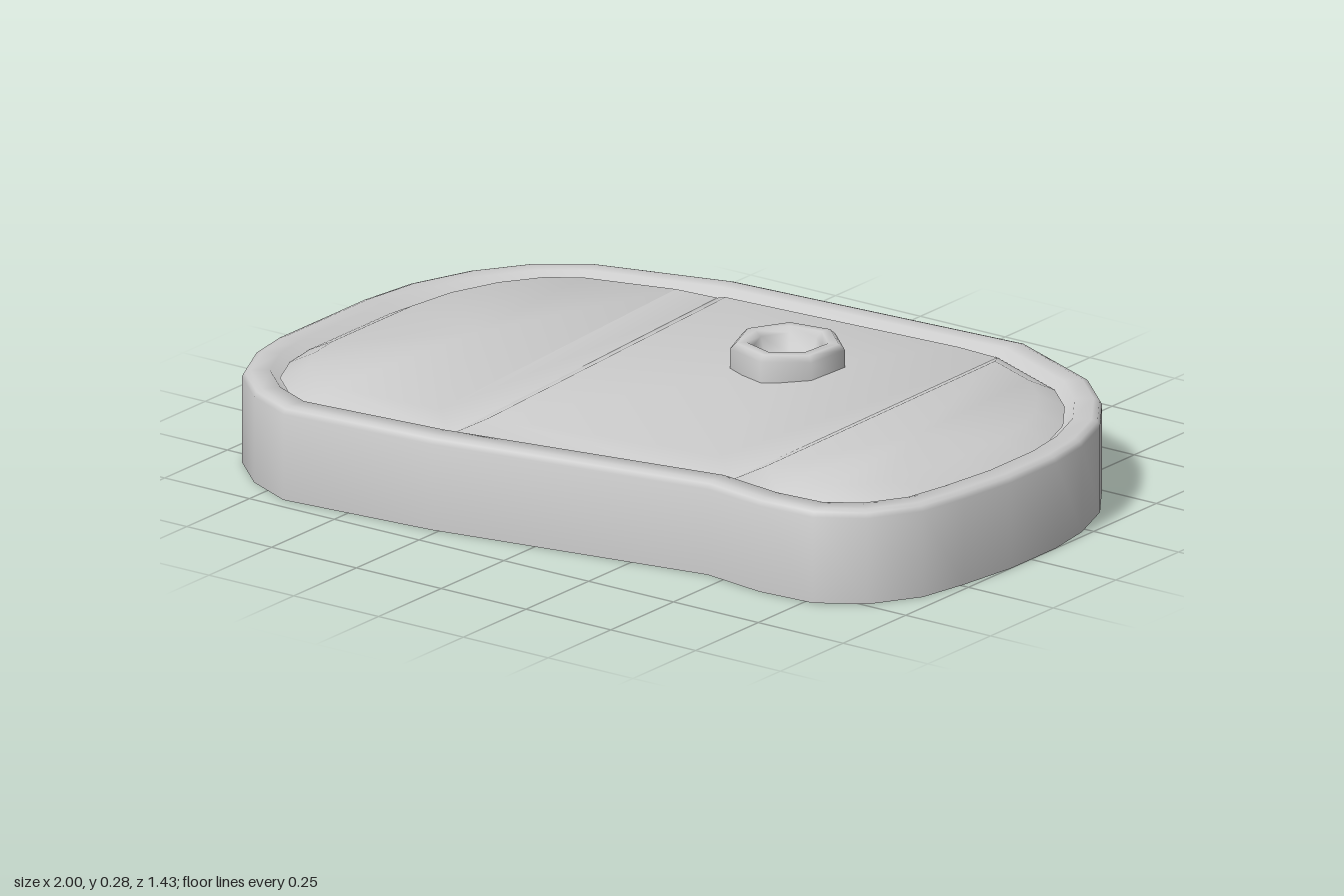
import * as THREE from 'three';
import { mergeVertices, toCreasedNormals } from 'three/addons/utils/BufferGeometryUtils.js';

const material = new THREE.MeshStandardMaterial({ color: 0xcccccc, side: THREE.DoubleSide });

// Plan of the body as [x, z], running back, left, front, right
const outline = [
  [-0.37, -0.67], [0.45, -0.72], [0.73, -0.6], [0.84, -0.5], [0.93, -0.37],
  [0.98, -0.23], [1, -0.1], [1, 0.08], [0.98, 0.24], [0.955, 0.37],
  [0.88, 0.49], [0.77, 0.56], [0.62, 0.57], [0.45, 0.545], [-0.27, 0.675],
  [-0.68, 0.71], [-0.81, 0.65], [-0.92, 0.55], [-0.98, 0.42], [-1, 0.3],
  [-1, -0.04], [-0.98, -0.2], [-0.92, -0.36], [-0.83, -0.49], [-0.71, -0.575],
];

// Move every edge of a closed plan inwards by d
function inset(points, d) {
  const n = points.length;
  const normal = (a, b) => {
    const dx = b[0] - a[0], dz = b[1] - a[1], l = Math.hypot(dx, dz);
    return [-dz / l, dx / l];
  };
  return points.map((p, i) => {
    const a = normal(points[(i + n - 1) % n], p);
    const b = normal(p, points[(i + 1) % n]);
    const k = d / (1 + a[0] * b[0] + a[1] * b[1]);
    return [p[0] + k * (a[0] + b[0]), p[1] + k * (a[1] + b[1])];
  });
}

// Skin a plan through [inset, height] steps, then close it to a centre point
function loft(points, steps, centre, crease = 0.7) {
  const n = points.length, position = [], index = [];
  for (const [d, y] of steps) for (const [x, z] of inset(points, d)) position.push(x, y, z);
  for (let s = 0; s < steps.length - 1; s++) {
    for (let i = 0; i < n; i++) {
      const a = s * n + i, b = s * n + (i + 1) % n;
      index.push(a, a + n, b + n, a, b + n, b);
    }
  }
  if (centre) {
    const last = (steps.length - 1) * n, c = position.length / 3;
    position.push(...centre);
    for (let i = 0; i < n; i++) index.push(c, last + (i + 1) % n, last + i);
  }
  const geometry = new THREE.BufferGeometry();
  geometry.setAttribute('position', new THREE.Float32BufferAttribute(position, 3));
  geometry.setIndex(index);
  return toCreasedNormals(mergeVertices(geometry), crease);
}

export function createModel() {
  const group = new THREE.Group();
  const add = (name, geometry) => {
    const mesh = new THREE.Mesh(geometry, material);
    mesh.name = name;
    group.add(mesh);
  };

  // Outer wall, rounded rim and the groove inside it
  add('body', loft(outline, [
    [0, 0], [0, 0.215], [0.006, 0.227], [0.02, 0.232], [0.065, 0.232], [0.085, 0.205], [0.1, 0.205],
  ], [0, 0.205, 0], 1));

  // Underside, left open along the front
  const cap = [...outline.slice(0, 14), [-0.31, 0.4], outline[15], ...outline.slice(18)];
  const shape = new THREE.Shape(cap.map(([x, z]) => new THREE.Vector2(x, z)));
  add('underside', new THREE.ShapeGeometry(shape).rotateX(Math.PI / 2));

  // Three raised panels with shallow valleys between them
  const inner = inset(outline, 0.088);
  const edge = [[0, 0.212], [0.065, 0.245]];
  add('rightPanel', loft([...inner.slice(14), inner[0]], edge, [-0.62, 0.24, 0.02]));
  add('leftPanel', loft(inner.slice(1, 14), edge, [0.66, 0.24, 0]));
  add('middlePanel', loft([inner[0], inner[1], inner[13], inner[14]], edge, [0.075, 0.212, -0.28]));

  // Seven-sided ring standing in the dip of the middle panel
  const profile = [[0, 0.225], [0.07, 0.225], [0.085, 0.272], [0.1, 0.284], [0.125, 0.284], [0.14, 0.27], [0.14, 0.2]]
    .reverse().map(([r, y]) => new THREE.Vector2(r, y));
  const ring = new THREE.LatheGeometry(profile, 7, 0.15);
  ring.translate(0.08, 0, -0.275);
  add('ring', ring);

  return group;
}
